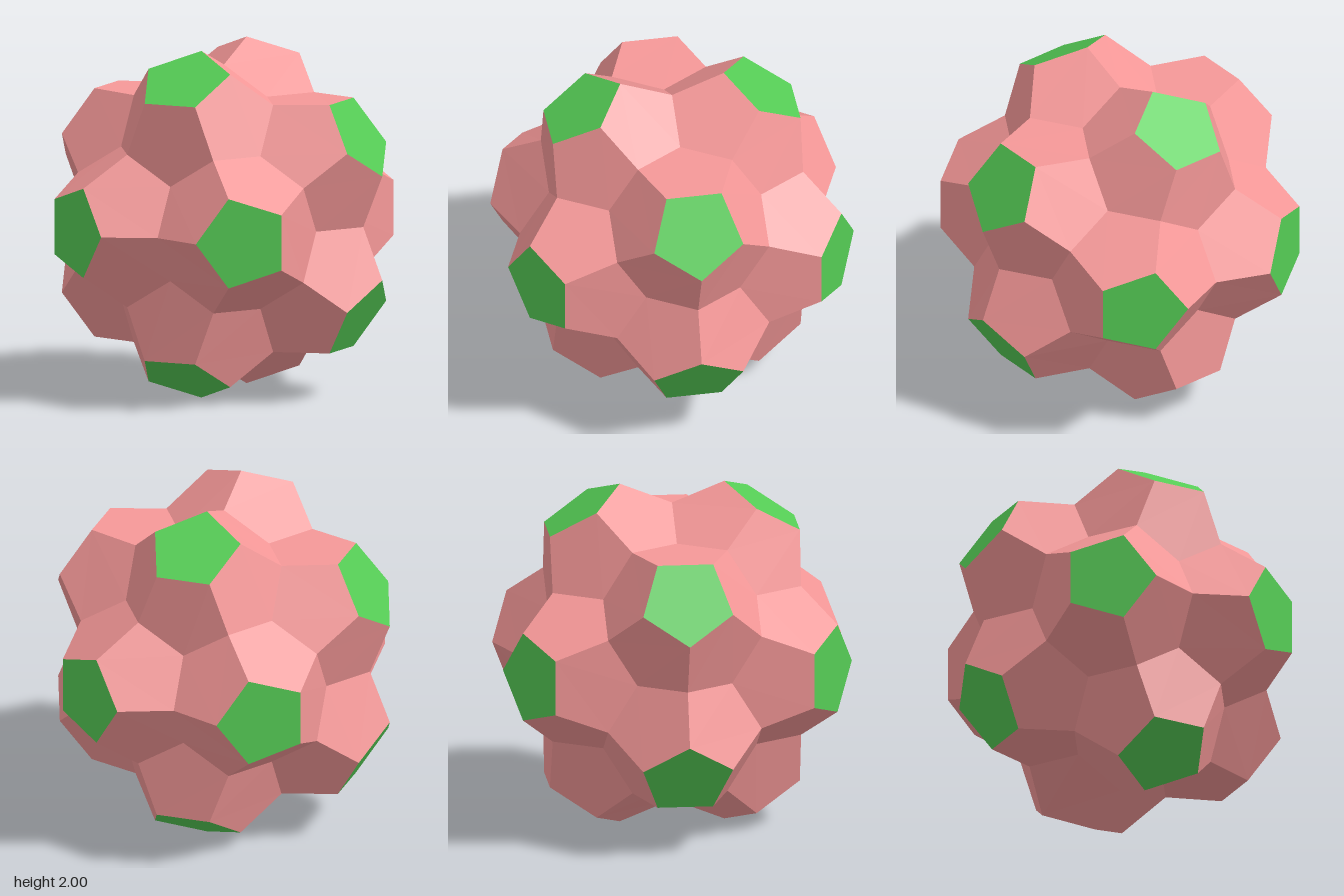
import * as THREE from 'three';

const PHI = (1 + Math.sqrt(5)) / 2;
const INNER = 0.44;       // scale of the three-cell corners
const VALLEY = 0.88;      // distance of the two-cell corners
const CAP_DIST = 1.008;   // distance of the outer caps
const CAP_RADIUS = 0.271;

const green = new THREE.MeshStandardMaterial({ color: 0x55cc55, flatShading: true });
const pink = new THREE.MeshStandardMaterial({ color: 0xf59898, flatShading: true });

// All sign changes and cyclic shifts of (0, a, b)
function cyclic(a, b) {
  const out = [];
  for (const s of [1, -1]) for (const t of [1, -1]) {
    const p = [0, a * s, b * t];
    for (let k = 0; k < 3; k++) out.push(new THREE.Vector3(p[k], p[(k + 1) % 3], p[(k + 2) % 3]));
  }
  return out;
}

// Fan-triangulated polygons, each a list of counter-clockwise corners
function polygonMesh(polygons, material, name) {
  const points = [];
  for (const p of polygons)
    for (let i = 1; i < p.length - 1; i++) points.push(p[0], p[i], p[i + 1]);
  const geometry = new THREE.BufferGeometry().setFromPoints(points);
  geometry.computeVertexNormals();
  const mesh = new THREE.Mesh(geometry, material);
  mesh.name = name;
  return mesh;
}

// Exposed part of one dodecahedral cell: outer cap and five side pentagons
function createCell(axis, corners) {
  const u = new THREE.Vector3(axis.y, axis.z, axis.x).cross(axis).normalize();
  const w = axis.clone().cross(u);
  const angle = (p) => Math.atan2(p.dot(w), p.dot(u));
  const ring = corners.filter((p) => p.dot(axis) > 1).sort((p, q) => angle(p) - angle(q));

  const a = ring.map((p) => p.clone().multiplyScalar(INNER));
  const b = ring.map((p, i) => p.clone().add(ring[(i + 1) % 5]).setLength(VALLEY));
  const c = b.map((p) => p.clone().projectOnPlane(axis).setLength(CAP_RADIUS)
    .addScaledVector(axis, CAP_DIST));

  const sides = a.map((p, i) => {
    const j = (i + 4) % 5;
    return [c[i], c[j], b[j], p, b[i]];
  });

  const cell = new THREE.Group();
  cell.name = 'cell';
  cell.add(polygonMesh([c], green, 'outerCap'), polygonMesh(sides, pink, 'sideFaces'));
  return cell;
}

export function createModel() {
  const group = new THREE.Group();
  group.name = 'dodecahedronCluster';

  // Dodecahedron corners and the twelve cell directions
  const corners = cyclic(1 / PHI, PHI);
  for (const x of [1, -1]) for (const y of [1, -1]) for (const z of [1, -1])
    corners.push(new THREE.Vector3(x, y, z));

  for (const axis of cyclic(PHI, 1)) group.add(createCell(axis.normalize(), corners));

  group.position.y = 1;
  return group;
}
